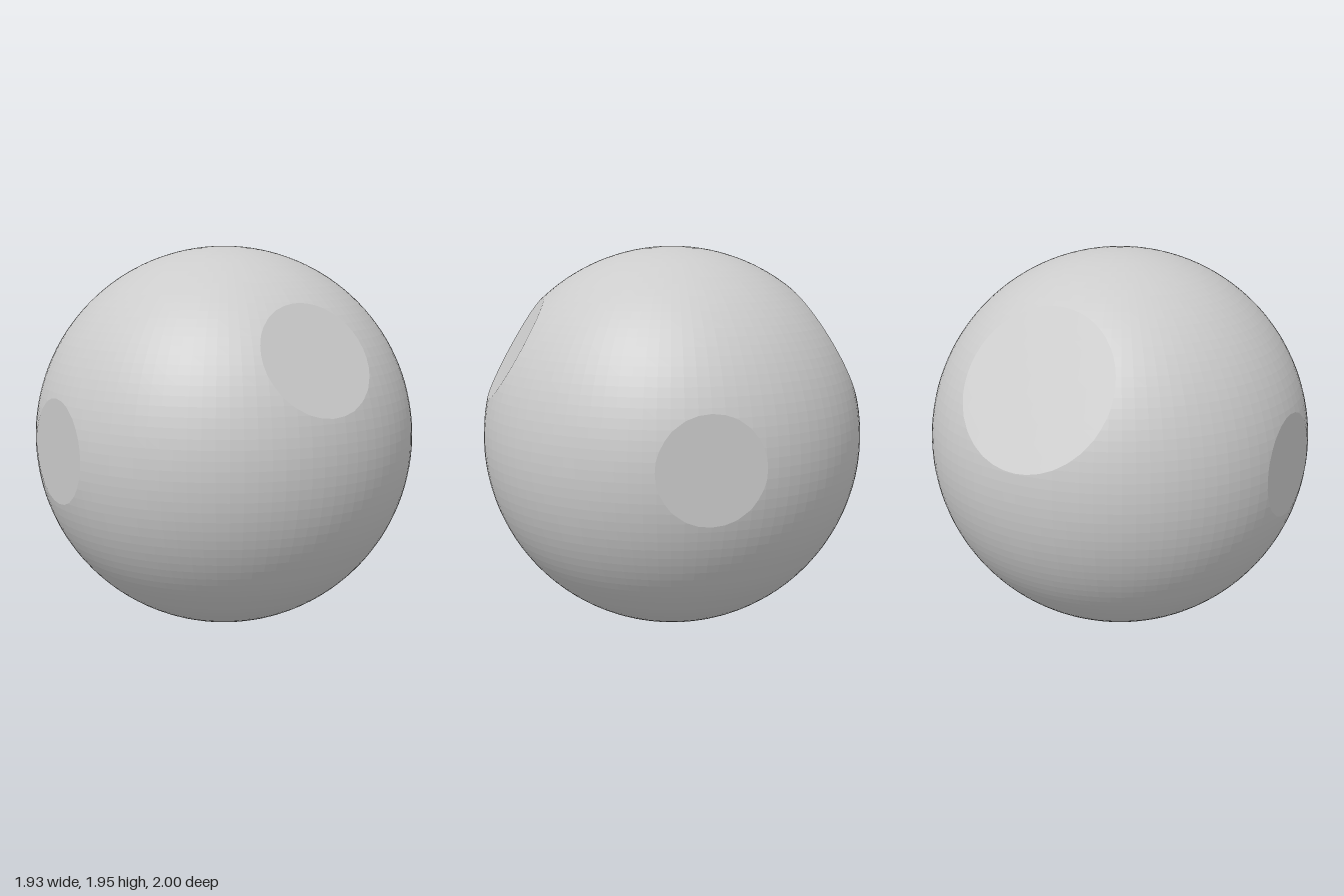
import * as THREE from 'three';

const CENTRE_Y = 0.954;
const C30 = Math.cos(Math.PI / 6);

// Flat faces cut into the ball: direction and distance from its centre
const CUTS = [
  { name: 'baseFlat', n: new THREE.Vector3(0, -1, 0), d: 0.954 },
  { name: 'leftFlat', n: new THREE.Vector3(1, 0, 0), d: 0.964 },
  { name: 'rightFlat', n: new THREE.Vector3(-1, 0, 0), d: 0.964 },
  { name: 'frontFlat', n: new THREE.Vector3(0, 0.5, C30), d: 0.954 },
  { name: 'backFlat', n: new THREE.Vector3(0, 0.5, -C30), d: 0.912 },
];

// Part of a convex polygon on one side of a plane (side = 1 keeps the inner part)
function clip(poly, { n, d }, side) {
  const out = [];
  poly.forEach((a, i) => {
    const b = poly[(i + 1) % poly.length];
    const da = (d - a.dot(n)) * side;
    const db = (d - b.dot(n)) * side;
    if (da >= 0) out.push(a);
    if (da * db < 0) out.push(a.clone().lerp(b, da / (da - db)));
  });
  return out;
}

// Fan a polygon into triangles
function addFan(positions, poly) {
  for (let i = 1; i < poly.length - 1; i++) {
    for (const p of [poly[0], poly[i], poly[i + 1]]) positions.push(p.x, p.y, p.z);
  }
}

function makeMesh(name, positions) {
  const geometry = new THREE.BufferGeometry();
  geometry.setAttribute('position', new THREE.Float32BufferAttribute(positions, 3));
  geometry.computeVertexNormals();
  const mesh = new THREE.Mesh(
    geometry,
    new THREE.MeshStandardMaterial({ color: 0xcccccc, flatShading: true })
  );
  mesh.name = name;
  mesh.position.y = CENTRE_Y;
  return mesh;
}

export function createModel() {
  const group = new THREE.Group();
  group.name = 'flattenedBall';

  const source = new THREE.SphereGeometry(1, 96, 64).toNonIndexed().getAttribute('position');
  const ball = [];
  const flats = CUTS.map(() => []);

  // Split each facet at the cuts; pull the outer pieces onto the flat faces
  for (let i = 0; i < source.count; i += 3) {
    let poly = [0, 1, 2].map((k) => new THREE.Vector3().fromBufferAttribute(source, i + k));
    CUTS.forEach((cut, c) => {
      const outer = clip(poly, cut, -1);
      if (outer.length < 3) return;
      addFan(flats[c], outer.map((p) => p.clone().multiplyScalar(cut.d / p.dot(cut.n))));
      poly = clip(poly, cut, 1);
    });
    addFan(ball, poly);
  }

  group.add(makeMesh('ball', ball));
  CUTS.forEach((cut, c) => group.add(makeMesh(cut.name, flats[c])));
  return group;
}
